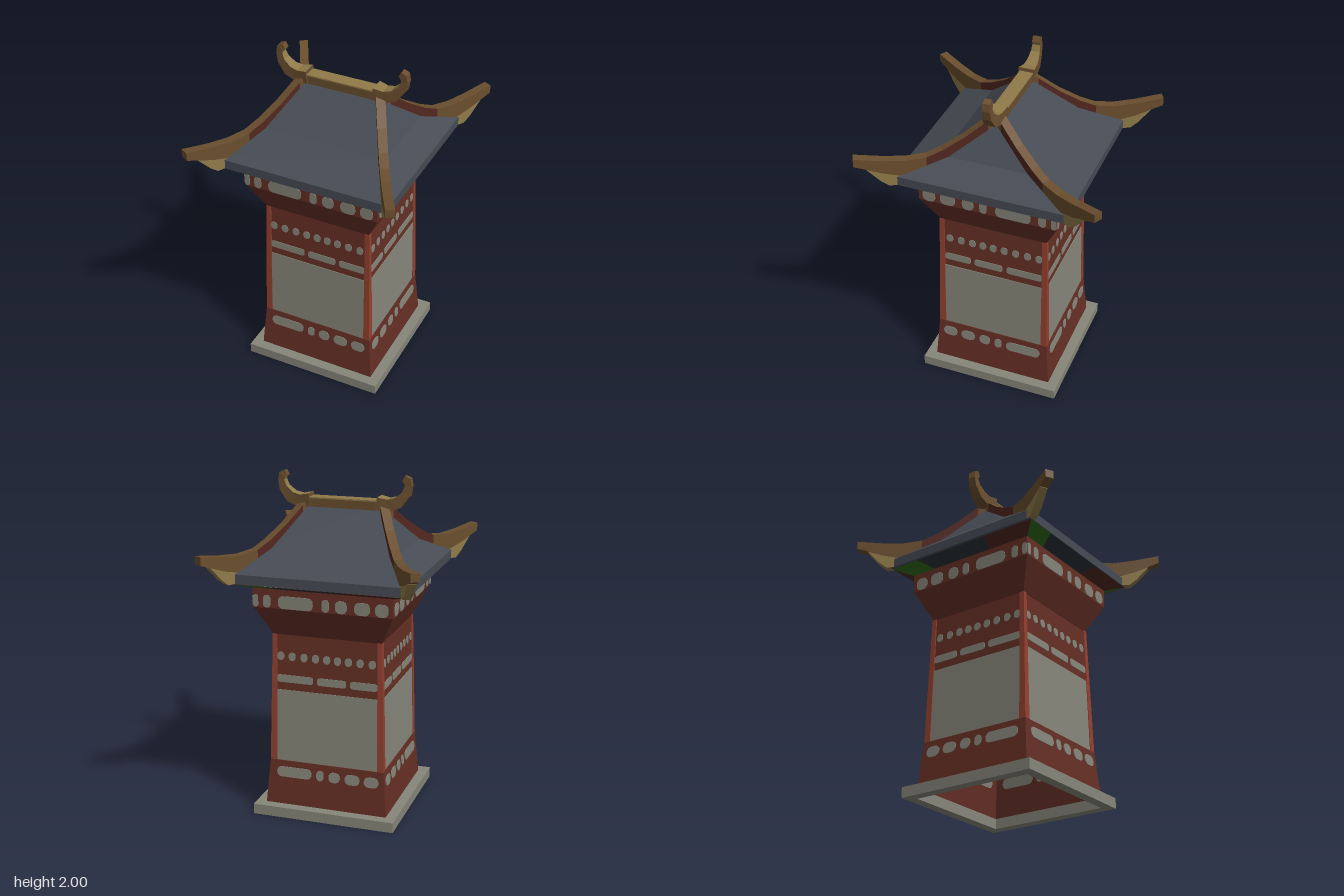
import * as THREE from 'three';

const mat = (name, color, side = THREE.FrontSide) =>
  Object.assign(new THREE.MeshStandardMaterial({ color, side }), { name });

const M = {
  red: mat('wall red', 0x652f25, THREE.DoubleSide),
  post: mat('post red', 0x94402f),
  stone: mat('pale stone', 0x87867a),
  slate: mat('roof slate', 0x464b54),
  brown: mat('ridge brown', 0x6a4e2e),
  tan: mat('light timber', 0x8f7a48),
  maroon: mat('ridge maroon', 0x532820),
  green: mat('eave green', 0x2f6a1c, THREE.DoubleSide),
  shade: mat('eave dark', 0x2b3237, THREE.DoubleSide),
  eaveRed: mat('eave red', 0x4f241c, THREE.DoubleSide),
};

// Flat-shaded skin over four-cornered rings; pick(segment, side) gives a material index
function loft(rings, caps = true, pick = () => 0) {
  const pos = [], geo = new THREE.BufferGeometry();
  const quad = (a, b, c, d, m) => {
    geo.addGroup(pos.length / 3, 6, m);
    pos.push(...a, ...b, ...c, ...a, ...c, ...d);
  };
  for (let s = 0; s < rings.length - 1; s++) {
    const A = rings[s], B = rings[s + 1];
    for (let i = 0; i < 4; i++) {
      const j = (i + 1) % 4;
      quad(A[i], A[j], B[j], B[i], pick(s, i));
    }
  }
  if (caps) {
    const [a, b, c, d] = rings[0];
    quad(d, c, b, a, 0);
    quad(...rings[rings.length - 1], 0);
  }
  geo.setAttribute('position', new THREE.Float32BufferAttribute(pos, 3));
  geo.computeVertexNormals();
  return geo;
}

// Horizontal rectangle ring
const rect = (x, z, y, cx = 0, cz = 0) =>
  [[cx + x, y, cz + z], [cx + x, y, cz - z], [cx - x, y, cz - z], [cx - x, y, cz + z]];

// Rounded plate, thin enough to read as paint on both faces of a wall
function plate(w, h, r) {
  const s = new THREE.Shape(), x = w / 2, y = h / 2;
  r = Math.min(r, x * 0.98, y * 0.98);
  s.absarc(x - r, y - r, r, 0, Math.PI / 2);
  s.absarc(r - x, y - r, r, Math.PI / 2, Math.PI);
  s.absarc(r - x, r - y, r, Math.PI, Math.PI * 1.5);
  s.absarc(x - r, r - y, r, Math.PI * 1.5, Math.PI * 2);
  const g = new THREE.ExtrudeGeometry(s, { depth: 0.008, bevelEnabled: false, curveSegments: 4 });
  return g.translate(0, 0, -0.004);
}

// Body outline: [half width, height]
const BODY = [[0.37, 0.06], [0.348, 0.33], [0.34, 0.33], [0.322, 1.1], [0.325, 1.1], [0.411, 1.275], [0.414, 1.39]];

// Painted rows: heights, outline segment, then [from, to] spans across the wall
const ROWS = [
  { y: [0.23, 0.293], seg: 0, spans: [[-0.305, -0.09], [-0.06, -0.015], [0.015, 0.085], [0.115, 0.205], [0.232, 0.32]] },
  { y: [0.813, 0.858], seg: 2, r: 0.015, spans: [[-0.305, -0.085], [-0.06, 0.115], [0.14, 0.302]] },
  { y: [0.945, 0.995], seg: 2, spans: [-0.282, -0.212, -0.14, -0.07, -0.002, 0.063, 0.128, 0.198, 0.27].map(u => [u - 0.021, u + 0.021]) },
  { y: [1.278, 1.352], seg: 5, spans: [[-0.411, -0.38], [-0.35, -0.306], [-0.26, -0.053], [0, 0.042], [0.078, 0.147], [0.19, 0.28], [0.31, 0.387]] },
  { y: [0.328, 0.767], seg: 2, r: 0.002, spans: [[-0.312, 0.312]] },
];

export function createModel() {
  const model = new THREE.Group();
  const add = (parent, name, geo, material) => {
    const mesh = new THREE.Mesh(geo, material);
    mesh.name = name;
    parent.add(mesh);
    return mesh;
  };

  // Hollow plinth frame
  const sq = (P, h) => {
    const p = new P();
    p.moveTo(-h, -h); p.lineTo(h, -h); p.lineTo(h, h); p.lineTo(-h, h); p.closePath();
    return p;
  };
  const frame = sq(THREE.Shape, 0.43);
  frame.holes.push(sq(THREE.Path, 0.368));
  const base = new THREE.ExtrudeGeometry(frame, { depth: 0.062, bevelEnabled: false });
  add(model, 'basePlinth', base.rotateX(-Math.PI / 2), M.stone);

  // Hollow tapering tower
  add(model, 'towerWalls', loft(BODY.map(([h, y]) => rect(h, h, y)), false), M.red);

  for (const sx of [-1, 1]) for (const sz of [-1, 1]) {
    // Leaning corner post
    add(model, 'cornerPost', loft([
      rect(0.02, 0.02, 0.33, sx * 0.328, sz * 0.328),
      rect(0.014, 0.014, 1.1, sx * 0.315, sz * 0.315)]), M.post);

    // Hip ridge, sweeping down and turning up past the eave corner
    const len = Math.hypot(0.38, 0.7);
    const px = sz * 0.7 / len, pz = -sx * 0.38 / len;
    const bar = (sections, w, pick) => loft(sections.map(([t, top, low]) => {
      const x = sx * (0.23 + 0.38 * t / 0.7), z = sz * t;
      const at = (k, y) => [x + k * w * px, y, z + k * w * pz];
      return [at(1, low), at(1, top), at(-1, top), at(-1, low)];
    }), true, pick);
    add(model, 'hipRidge', bar([
      [0, 1.85, 1.78], [0.05, 1.805, 1.74], [0.16, 1.71, 1.65], [0.27, 1.635, 1.56], [0.35, 1.595, 1.52],
      [0.45, 1.583, 1.48], [0.56, 1.592, 1.51], [0.7, 1.615, 1.567]], 0.026,
    (s, i) => (s > 0 && s < 4 && i % 2 === 0 ? 1 : 0)), [M.brown, M.maroon]);
    add(model, 'hipBracket', bar([
      [0.4, 1.55, 1.43], [0.535, 1.55, 1.425], [0.575, 1.55, 1.46], [0.64, 1.575, 1.54]], 0.024), M.tan);
  }

  // Wall paint and eave lining, turned onto each side
  for (let k = 0; k < 4; k++) {
    const side = new THREE.Group();
    side.name = 'wallSide';
    side.rotation.y = k * Math.PI / 2;
    model.add(side);
    const flip = k % 2 ? -1 : 1;
    for (const { y: [lo, hi], seg, spans, r = 0.03 } of ROWS) {
      const [h0, y0] = BODY[seg], [h1, y1] = BODY[seg + 1];
      const y = (lo + hi) / 2, slope = (h1 - h0) / (y1 - y0);
      for (const [a, b] of spans) {
        const p = add(side, 'wallPanel', plate(b - a, hi - lo, r), M.stone);
        p.position.set(flip * (a + b) / 2, y, h0 + slope * (y - y0));
        p.rotation.x = Math.atan(slope);
      }
    }
    for (const [a, b, m] of [[-1, -0.62, M.green], [-0.62, 0.35, M.shade], [0.35, 1, M.eaveRed]]) {
      const g = new THREE.BufferGeometry();
      const A = [a * 0.413, 1.388, 0.413], B = [b * 0.413, 1.388, 0.413];
      const C = [b * 0.505, 1.423, 0.505], D = [a * 0.505, 1.423, 0.505];
      g.setAttribute('position', new THREE.Float32BufferAttribute([...A, ...B, ...C, ...A, ...C, ...D], 3));
      g.computeVertexNormals();
      add(side, 'eaveLining', g, m);
    }
  }

  // Two-pitch hipped roof with a square eave edge
  add(model, 'roof', loft([
    rect(0, 0, 1.425), rect(0.52, 0.507, 1.425), rect(0.52, 0.507, 1.48),
    rect(0.385, 0.27, 1.59), rect(0.23, 0, 1.82)], false), M.slate);

  // Top ridge with a lighter cap
  add(model, 'topRidge', new THREE.BoxGeometry(0.44, 0.05, 0.076).translate(0, 1.82, 0), M.brown);
  add(model, 'topRidgeCap', new THREE.BoxGeometry(0.44, 0.008, 0.08).translate(0, 1.848, 0), M.tan);

  // Curled finials: [x, y, half thickness, half width]
  const curl = [[0.2, 1.835, 0.037, 0.047], [0.265, 1.825, 0.036, 0.038], [0.325, 1.845, 0.032, 0.033],
    [0.368, 1.893, 0.024, 0.027], [0.381, 1.94, 0.019, 0.023], [0.374, 1.97, 0.022, 0.023], [0.352, 1.982, 0.017, 0.02]];
  const rings = curl.map(([x, y, h, w], i) => {
    const a = curl[Math.max(i - 1, 0)], b = curl[Math.min(i + 1, curl.length - 1)];
    const l = Math.hypot(b[0] - a[0], b[1] - a[1]);
    const nx = -(b[1] - a[1]) / l * h, ny = (b[0] - a[0]) / l * h;
    return [[x - nx, y - ny, -w], [x + nx, y + ny, -w], [x + nx, y + ny, w], [x - nx, y - ny, w]];
  });
  for (const turn of [0, Math.PI]) {
    const f = add(model, 'ridgeFinial', loft(rings, true, (s, i) => (i === 1 ? 1 : 0)), [M.brown, M.tan]);
    f.rotation.y = turn;
  }
  return model;
}
